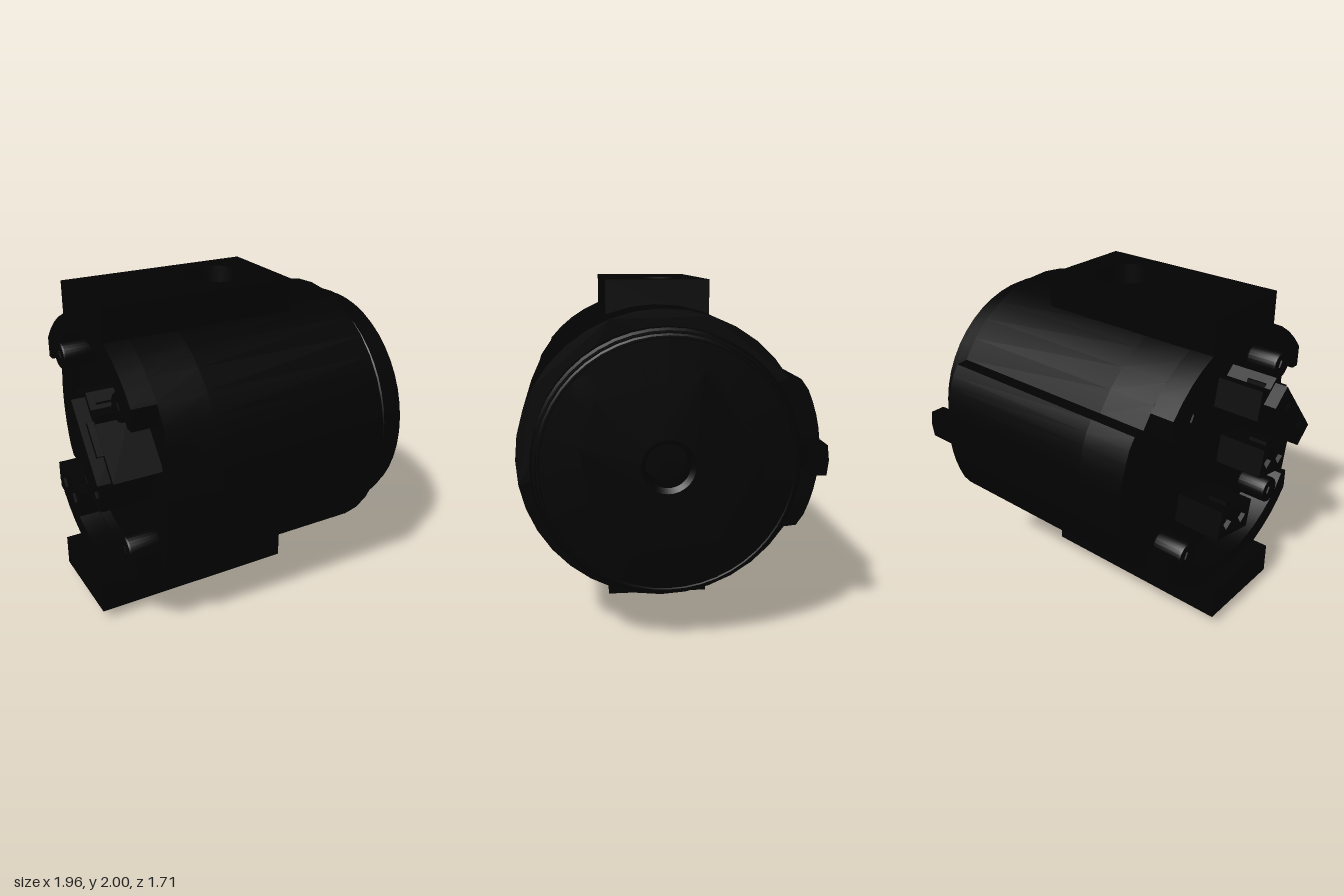
import * as THREE from 'three';
import { toCreasedNormals } from 'three/addons/utils/BufferGeometryUtils.js';

const CY = 1.04, CZ = 0.035, R = 0.82;
const TAU = Math.PI * 2;

export function createModel() {
  const group = new THREE.Group();
  const black = new THREE.MeshStandardMaterial({ color: 0x020202 });
  black.name = 'black casing';

  const add = (name, geo, x = 0, y = 0, z = 0, parent = group) => {
    const mesh = new THREE.Mesh(toCreasedNormals(geo, 0.45), black);
    mesh.name = name;
    mesh.position.set(x, y, z);
    parent.add(mesh);
  };
  const vecs = list => list.map(q => new THREE.Vector2(...q));
  const polar = (r, a) => new THREE.Vector2(r * Math.cos(a), r * Math.sin(a));
  const circle = (r, n = 36, u = 0, v = 0) => Array.from({ length: n }, (_, i) =>
    polar(r, (i / n) * TAU).add(new THREE.Vector2(u, v)));
  const shapeOf = (pts, ...holes) => {
    const s = new THREE.Shape(pts);
    holes.forEach(h => s.holes.push(new THREE.Path(h)));
    return s;
  };
  // Extrude a cross-section (u = -z, v = y, about the motor axis) along x
  const alongX = (shape, x0, x1, bevel = 0) => new THREE.ExtrudeGeometry(shape, {
    depth: x1 - x0 - 2 * bevel, bevelEnabled: bevel > 0,
    bevelThickness: bevel, bevelSize: bevel, bevelOffset: -bevel, bevelSegments: 2,
  }).rotateY(Math.PI / 2).translate(x0 + bevel, CY, CZ);
  // Extrude a plan section (x, -z) upward
  const alongY = (shape, y0, y1) => new THREE.ExtrudeGeometry(shape,
    { depth: y1 - y0, bevelEnabled: false }).rotateX(-Math.PI / 2).translate(0, y0, 0);
  const rod = (r, len, n = 24) => new THREE.CylinderGeometry(r, r, len, n).rotateZ(-Math.PI / 2);

  // Casing section: round, with a raised band along the back
  const band = 29 * Math.PI / 180;
  const section = [];
  for (let i = 0; i <= 12; i++) section.push(polar(i === 0 || i === 12 ? 0.878 : 0.889, -band + (i / 12) * 2 * band));
  for (let i = 0; i <= 30; i++) section.push(polar(R, band + 0.05 + (i / 30) * (TAU - 2 * band - 0.1)));
  add('mainCasing', alongX(shapeOf(section), -0.36, 0.745));

  // Rear of the casing is hollow and tapers on the front side
  const rear = alongX(shapeOf(section, circle(0.7)), -0.66, -0.36);
  const p = rear.attributes.position;
  for (let i = 0; i < p.count; i++) {
    const limit = 0.855 - 0.085 * (-0.36 - p.getX(i)) / 0.3;
    p.setZ(i, Math.min(p.getZ(i), limit));
  }
  add('rearCasing', rear);
  add('cavityFloor', rod(0.71, 0.25, 36), -0.475, CY, CZ);

  // Upper and lower rim walls: flat-sided, leaving both sides open
  for (const side of [1, -1]) {
    const arc = (r, half, dir) => Array.from({ length: 15 }, (_, i) => {
      const q = polar(r, Math.PI / 2 + dir * (i / 7 - 1) * half);
      return new THREE.Vector2(q.x, q.y * side);
    });
    const end = s => new THREE.Vector2(s * 0.64, side * 0.385);
    const pts = [end(1), ...arc(R, 0.895, 1), end(-1), ...arc(0.7, 0.988, -1)];
    add(side > 0 ? 'upperRim' : 'lowerRim', alongX(shapeOf(pts), -0.81, -0.66));
  }

  // Mounting blocks with a round port in each
  const plan = (x0, x1) => shapeOf(vecs([[x0, -0.335], [x1, -0.335], [x1, 0.27], [x0, 0.27]]),
    circle(0.19, 32, 0.04, -0.025));
  add('topBlock', alongY(plan(-0.81, 0.38), 1.77, 2));
  add('bottomBlock', alongY(plan(-0.905, 0.38), 0.075, 0.27));
  // Foot under the bottom block, with a socket
  add('foot', alongY(shapeOf(circle(0.135, 28, -0.72, -0.03), circle(0.07, 6, -0.72, -0.03)), 0, 0.08));
  add('footSocketFloor', new THREE.CylinderGeometry(0.08, 0.08, 0.03, 12), -0.72, 0.065, 0.03);

  // Stepped front flange with a chamfered centre bore
  const profile = vecs([[0.67, 0.7], [0.67, 0.81], [0.72, 0.81], [0.735, 0.825], [0.735, 0.918], [0.722, 0.933],
    [0.71, 0.933], [0.71, 0.97], [0.7, 0.98], [0.69, 0.98], [0.685, 0.972], [0.148, 0.972],
    [0.122, 0.945], [0.122, 0.78], [0, 0.78]]);
  add('frontFlange', new THREE.LatheGeometry(profile, 48).rotateZ(-Math.PI / 2), 0, CY, CZ);
  // Thin irregular cover plate
  const cover = vecs([[-0.48, 0.12], [-0.39, 0.36], [-0.3, 0.4], [0.18, 0.51], [0.25, 0.48], [0.52, 0.06],
    [0.5, -0.1], [0.28, -0.42], [0.06, -0.52], [-0.2, -0.48], [-0.36, -0.4]]);
  add('coverPlate', alongX(shapeOf(cover.reverse(), circle(0.15)), 0.97, 0.975));
  // Four flange bolts, and the matching screw posts inside the rear rim
  for (const sy of [-1, 1]) for (const sz of [-1, 1]) {
    add('flangeBolt', rod(0.06, 0.03), 0.965, CY + sy * 0.44, CZ + sz * 0.44);
    add('screwPost', alongX(shapeOf(circle(0.085, 24, -sz * 0.45, sy * 0.45)), -0.81, -0.6, 0.015));
    add('postScrew', rod(0.045, 0.02, 6), -0.81, CY + sy * 0.45, CZ + sz * 0.45);
  }
  add('indexPin', rod(0.035, 0.02), 0.967, CY, CZ + 0.63);
  // Locating tab beside the flange
  add('locatingTab', alongX(shapeOf(vecs([[0.77, -0.07], [0.79, -0.085], [0.88, -0.085], [0.89, 0],
    [0.88, 0.085], [0.79, 0.085], [0.77, 0.07]]), circle(0.04, 16, 0.83, 0)), 0.74, 0.915));

  // Plug connectors: housing with two sockets and a latch
  const connector = (y, z, w, h, tilt, tip) => {
    const unit = new THREE.Group();
    unit.name = 'connector';
    const body = shapeOf(vecs([[-w, -h], [w, -h], [w, h], [-w, h]]).map(q => q.multiplyScalar(0.5)),
      ...[-1, 1].map(s => circle(h * 0.24, 4, s * w * 0.25, 0)));
    add('connectorHousing', alongX(body, tip, -0.6).translate(0, -CY, -CZ), 0, 0, 0, unit);
    add('socketFloor', new THREE.BoxGeometry(0.02, h * 0.9, w * 0.9), tip + 0.07, 0, 0, unit);
    add('latch', new THREE.BoxGeometry(0.12, 0.03, w * 0.4), tip + 0.1, h / 2 + 0.008, 0, unit);
    unit.position.set(0, y, z);
    unit.rotation.x = tilt;
    group.add(unit);
    return unit;
  };
  const mainPlug = connector(1.245, 0.36, 0.5, 0.15, 0.87, -0.98);
  add('plugCollar', new THREE.BoxGeometry(0.3, 0.2, 0.53), -0.75, 0, 0, mainPlug);
  connector(1.36, 0.24, 0.28, 0.18, 0.2, -0.9);
  connector(0.95, 0.3, 0.28, 0.18, 0.2, -0.912);
  connector(0.72, -0.1, 0.32, 0.18, 0.2, -0.91);

  return group;
}
